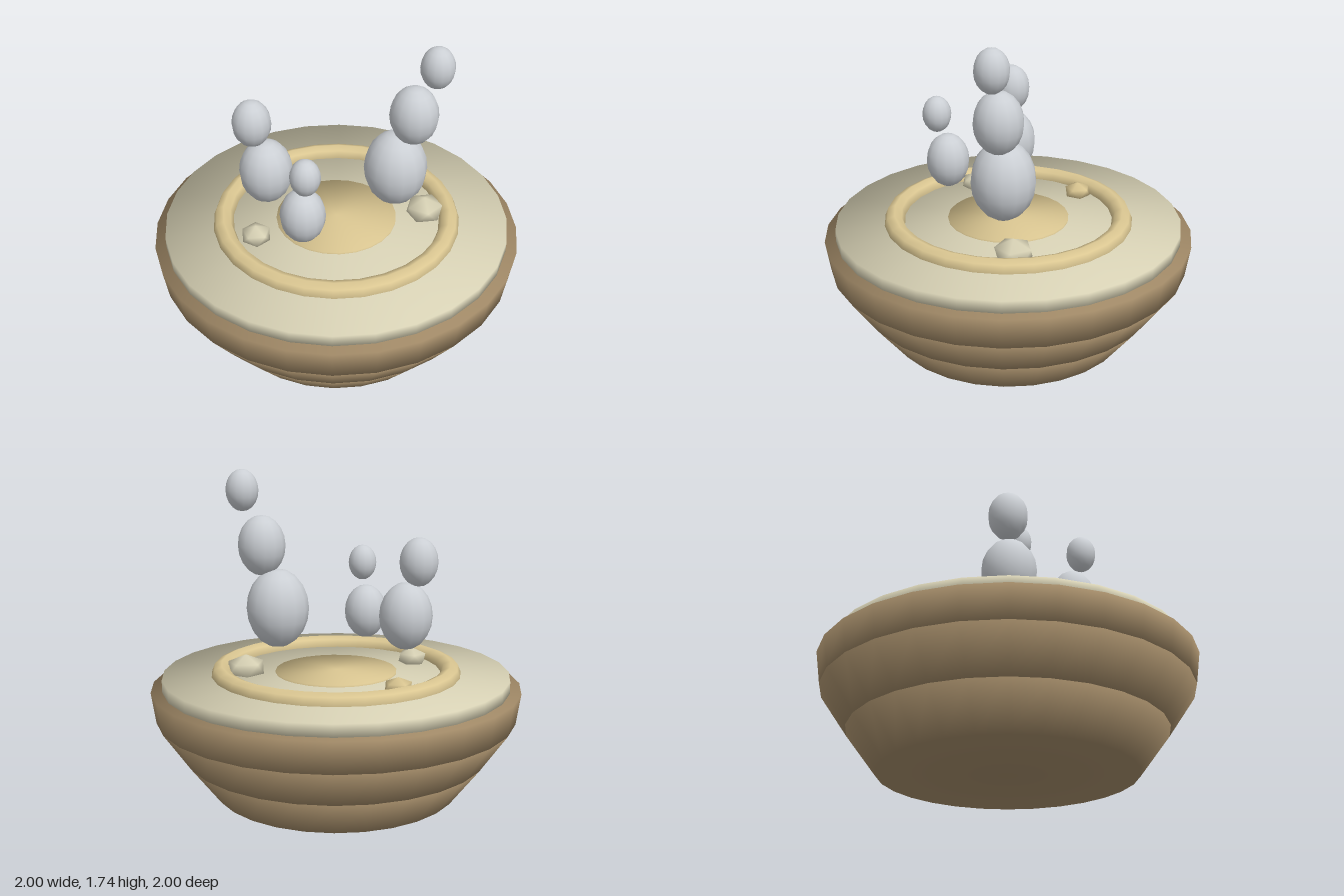
import * as THREE from 'three';
import { mergeVertices } from 'three/addons/utils/BufferGeometryUtils.js';

const paint = (name, color) => {
  const m = new THREE.MeshStandardMaterial({ color });
  m.name = name;
  return m;
};

// Weld a geometry and share each vertex normal evenly between its faces
function soften(source) {
  source.deleteAttribute('normal');
  source.deleteAttribute('uv');
  let geo = mergeVertices(source, 1e-4);
  if (!geo.index) geo = mergeVertices(geo);
  const pos = geo.attributes.position;
  const sums = Array.from({ length: pos.count }, () => new THREE.Vector3());
  const tri = new THREE.Triangle();
  const n = new THREE.Vector3();
  for (let i = 0; i < geo.index.count; i += 3) {
    const ids = [0, 1, 2].map((k) => geo.index.getX(i + k));
    tri.setFromAttributeAndIndices(pos, ...ids);
    tri.getNormal(n);
    ids.forEach((id) => sums[id].add(n));
  }
  const normals = new Float32Array(pos.count * 3);
  sums.forEach((s, i) => s.normalize().toArray(normals, i * 3));
  geo.setAttribute('normal', new THREE.BufferAttribute(normals, 3));
  return geo;
}

export function createModel() {
  const model = new THREE.Group();
  model.name = 'steamingPool';

  const earth = paint('brown earth', 0xa48c69);
  const pale = paint('pale mineral', 0xdad4b7);
  const sand = paint('golden sand', 0xdbc792);
  const vapor = paint('grey steam', 0xcbcfd4);

  const add = (name, geo, mat, x = 0, y = 0, z = 0) => {
    const mesh = new THREE.Mesh(geo, mat);
    mesh.name = name;
    mesh.position.set(x, y, z);
    model.add(mesh);
    return mesh;
  };

  // Round slab from y0 to y1
  const slab = (name, mat, rBottom, rTop, y0, y1, sides = 28) =>
    add(name, soften(new THREE.CylinderGeometry(rTop, rBottom, y1 - y0, sides)), mat, 0, (y0 + y1) / 2, 0);

  // Stepped earth base
  slab('lowerTier', earth, 0.67, 0.83, 0, 0.21);
  slab('middleTier', earth, 0.83, 0.975, 0.21, 0.42);
  slab('upperTier', earth, 0.975, 1.0, 0.42, 0.587);

  // Mineral crust, sunken pool and raised rim
  slab('crust', pale, 0.94, 0.94, 0.587, 0.652);
  slab('pool', sand, 0.33, 0.33, 0.6, 0.662, 24);
  const rim = new THREE.TorusGeometry(0.622, 0.055, 8, 28);
  rim.rotateX(-Math.PI / 2);
  add('rim', rim, sand, 0, 0.655, 0);

  // Half-buried stones: x, y, z, radius, half height, turn
  [
    [0.42, 0.68, -0.25, 0.11, 0.075, 0.3, pale],
    [-0.294, 0.68, 0.37, 0.085, 0.057, 0.9, pale],
    [-0.458, 0.675, -0.21, 0.078, 0.05, 0, sand],
  ].forEach(([x, y, z, r, h, turn, mat]) => {
    const geo = new THREE.IcosahedronGeometry(1);
    geo.rotateZ(-Math.atan(2 / (1 + Math.sqrt(5)))); // one corner straight up
    geo.scale(r, h, r);
    add('stone', soften(geo), mat, x, y, z).rotation.y = turn;
  });

  // Steam puffs: x, y, z, radius, half height
  [
    [0.29, 1.0, -0.124, 0.169, 0.214],
    [0.374, 1.337, -0.142, 0.128, 0.162],
    [0.478, 1.628, -0.163, 0.088, 0.112],
    [-0.337, 0.96, 0.167, 0.145, 0.184],
    [-0.398, 1.254, 0.19, 0.104, 0.132],
    [0, 0.92, 0.378, 0.119, 0.152],
    [0.04, 1.193, 0.418, 0.079, 0.1],
  ].forEach(([x, y, z, r, h]) => {
    const geo = new THREE.SphereGeometry(1, 14, 10);
    geo.scale(r, h, r);
    add('steamPuff', geo, vapor, x, y, z);
  });

  return model;
}
